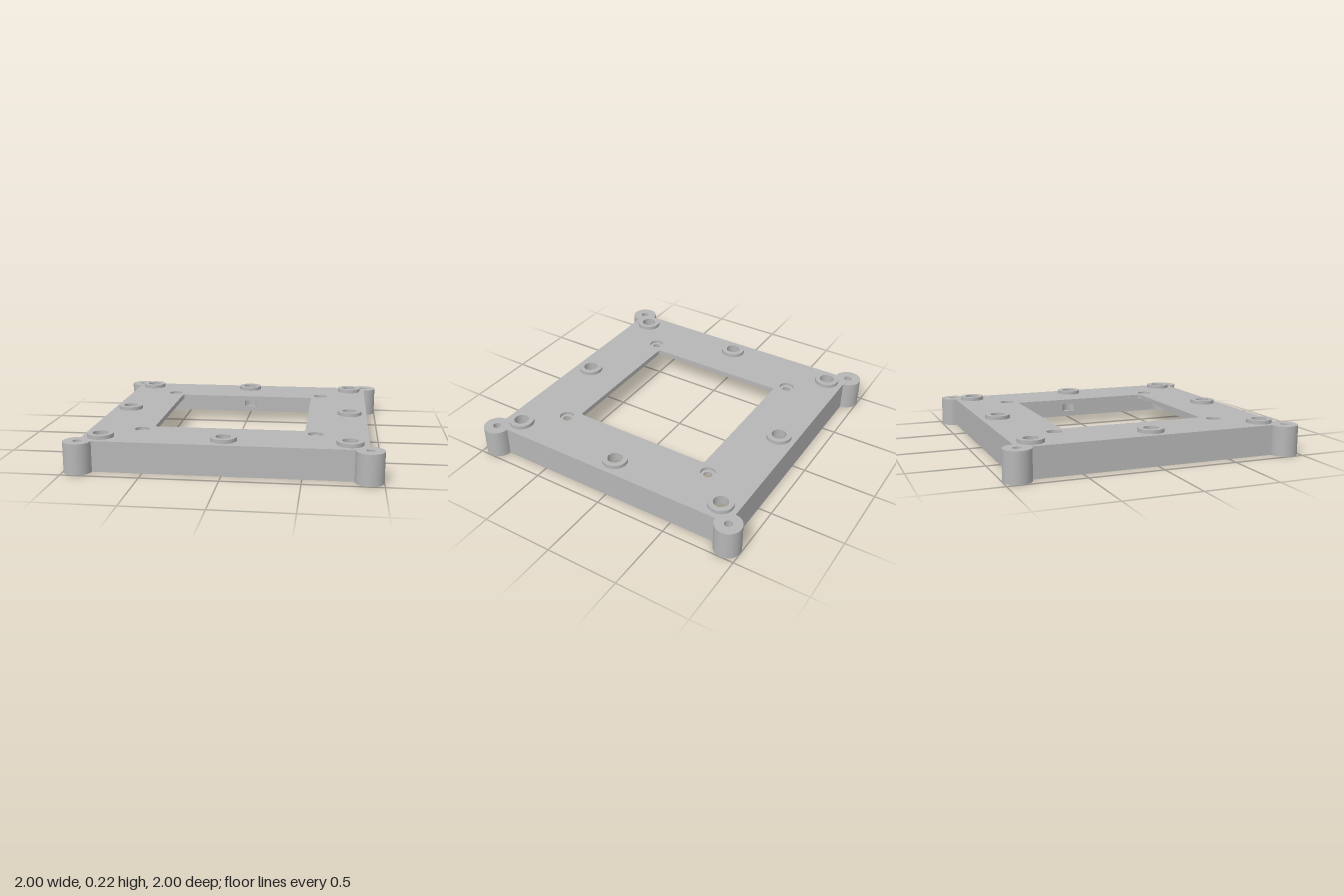
import * as THREE from 'three';
import { mergeGeometries, toCreasedNormals } from 'three/addons/utils/BufferGeometryUtils.js';

const HALF = 0.91, LUG_R = 0.09, SCREW_R = 0.027;      // outer square and corner lugs
const POCKET = 0.805, LIP = 0.845;                     // underside openings
const PORT = 0.79, PORT_R = 0.05, RING_R = 0.085;      // eight raised ports
const MOUNT = 0.57, WINDOW = 0.5;
const Y = { ledge: 0.03, notch: 0.05, under: 0.165, bore: 0.18, top: 0.2, ring: 0.225 };
const BITE = Math.asin((POCKET - PORT) / PORT_R);      // angle where a port meets the pocket wall
const Q = Math.PI / 2;

// Add an arc turned k quarter turns about the origin
function arc(shape, x, y, r, a, b, k, clockwise = false) {
  const c = Math.round(Math.cos(k * Q)), s = Math.round(Math.sin(k * Q));
  shape.absarc(x * c - y * s, x * s + y * c, r, a + k * Q, b + k * Q, clockwise);
  return shape;
}

// Build a closed outline from four identical quarters
function fourfold(addQuarter) {
  const shape = new THREE.Shape();
  for (let k = 0; k < 4; k++) addQuarter(shape, k);
  shape.closePath();
  return shape;
}

const roundedSquare = (half, r) => fourfold((s, k) => arc(s, half - r, half - r, r, 0, Q, k));
const circle = (x, y, r) => new THREE.Shape().absarc(x, y, r, 0, Math.PI * 2, false);
const outerOutline = () => fourfold((s, k) => arc(s, HALF, HALF, LUG_R, -Q, Math.PI, k));

// Pocket outline that follows the ports, bulging out (notches) or curving in
const portedPocket = (inward) => fourfold((s, k) => {
  arc(s, PORT, PORT, PORT_R, BITE - Q, Math.PI - BITE, k, inward);
  arc(s, 0, PORT, PORT_R, BITE, Math.PI - BITE, k, inward);
});

// Flat horizontal face with holes
function cap(shape, y, up, holes = []) {
  const face = new THREE.Shape(shape.getPoints(12));
  face.holes = holes.map((h) => new THREE.Path(h.getPoints(12)));
  const g = new THREE.ShapeGeometry(face).toNonIndexed();
  g.deleteAttribute('uv');
  return g.rotateX(up ? -Q : Q).translate(0, y, 0);
}

// Vertical wall along a closed outline, facing out or in
function wall(shape, y0, y1, inward = false) {
  const pts = shape.getPoints(12).filter((p, i, all) =>
    p.distanceTo(all[(i + 1) % all.length]) > 1e-5);
  if (THREE.ShapeUtils.isClockWise(pts) !== inward) pts.reverse();
  const pos = [];
  pts.forEach((p, i) => {
    const q = pts[(i + 1) % pts.length];
    for (const [v, y] of [[p, y0], [q, y0], [q, y1], [p, y0], [q, y1], [p, y1]]) {
      pos.push(v.x, y, -v.y);
    }
  });
  const g = new THREE.BufferGeometry();
  g.setAttribute('position', new THREE.Float32BufferAttribute(pos, 3));
  return toCreasedNormals(g, Math.PI / 5);
}

export function createModel() {
  const group = new THREE.Group();
  const grey = new THREE.MeshStandardMaterial({ color: 0xb6b6b6 });
  grey.name = 'grey';
  const add = (name, parts) => {
    const mesh = new THREE.Mesh(mergeGeometries(parts), grey);
    mesh.name = name;
    group.add(mesh);
  };

  const corners = [[1, 1], [-1, 1], [-1, -1], [1, -1]];
  const sides = [[1, 0], [0, 1], [-1, 0], [0, -1]];
  const circles = (list, d, r) => list.map(([x, y]) => circle(x * d, y * d, r));
  const ports = circles([...corners, ...sides], PORT, PORT_R);
  const screws = circles(corners, HALF, SCREW_R);
  const mounts = circles(corners, MOUNT, 0.028);
  const bores = circles(corners, MOUNT, 0.05);
  const outline = outerOutline();
  const pocket = roundedSquare(POCKET, 0.05);
  const lip = roundedSquare(LIP, 0.07);
  const window = roundedSquare(WINDOW, 0.02);

  // Outer walls with corner lugs, and the screw holes through them
  add('outerWall', [wall(outline, 0, Y.top), ...screws.map((s) => wall(s, 0, Y.top, true))]);

  // Top plate with its central window
  add('topPlate', [
    cap(outline, Y.top, true, [window, ...ports, ...bores, ...screws]),
    cap(portedPocket(true), Y.under, false, [window, ...mounts]),
    wall(window, Y.under, Y.top, true),
  ]);

  // Bottom rim and the stepped recess behind it
  add('bottomRim', [
    cap(outline, 0, false, [lip, ...screws]),
    wall(lip, 0, Y.ledge, true),
    cap(lip, Y.ledge, false, [pocket]),
  ]);

  // Inner wall with port notches and their floors
  const notchFloors = [];
  for (let k = 0; k < 4; k++) {
    const side = arc(new THREE.Shape(), 0, PORT, PORT_R, BITE, Math.PI - BITE, k);
    const corner = arc(new THREE.Shape(), PORT, PORT, PORT_R, BITE - Q, Math.PI - BITE, k);
    arc(corner, POCKET - 0.05, POCKET - 0.05, 0.05, Q, 0, k, true);
    notchFloors.push(cap(side, Y.notch, true), cap(corner, Y.notch, true));
  }
  add('innerWall', [
    wall(pocket, Y.ledge, Y.notch, true),
    wall(portedPocket(false), Y.notch, Y.under, true),
    ...notchFloors,
  ]);

  // Raised rings around the ports
  [...corners, ...sides].forEach(([x, y], i) => {
    const ring = circle(x * PORT, y * PORT, RING_R);
    add('portRing', [
      wall(ring, Y.top, Y.ring),
      cap(ring, Y.ring, true, [ports[i]]),
      wall(ports[i], Y.under, Y.ring, true),
    ]);
  });

  // Counterbored mounting holes
  mounts.forEach((hole, i) => add('mountingHole', [
    wall(bores[i], Y.bore, Y.top, true),
    cap(bores[i], Y.bore, true, [hole]),
    wall(hole, Y.under, Y.bore, true),
  ]));

  return group;
}
